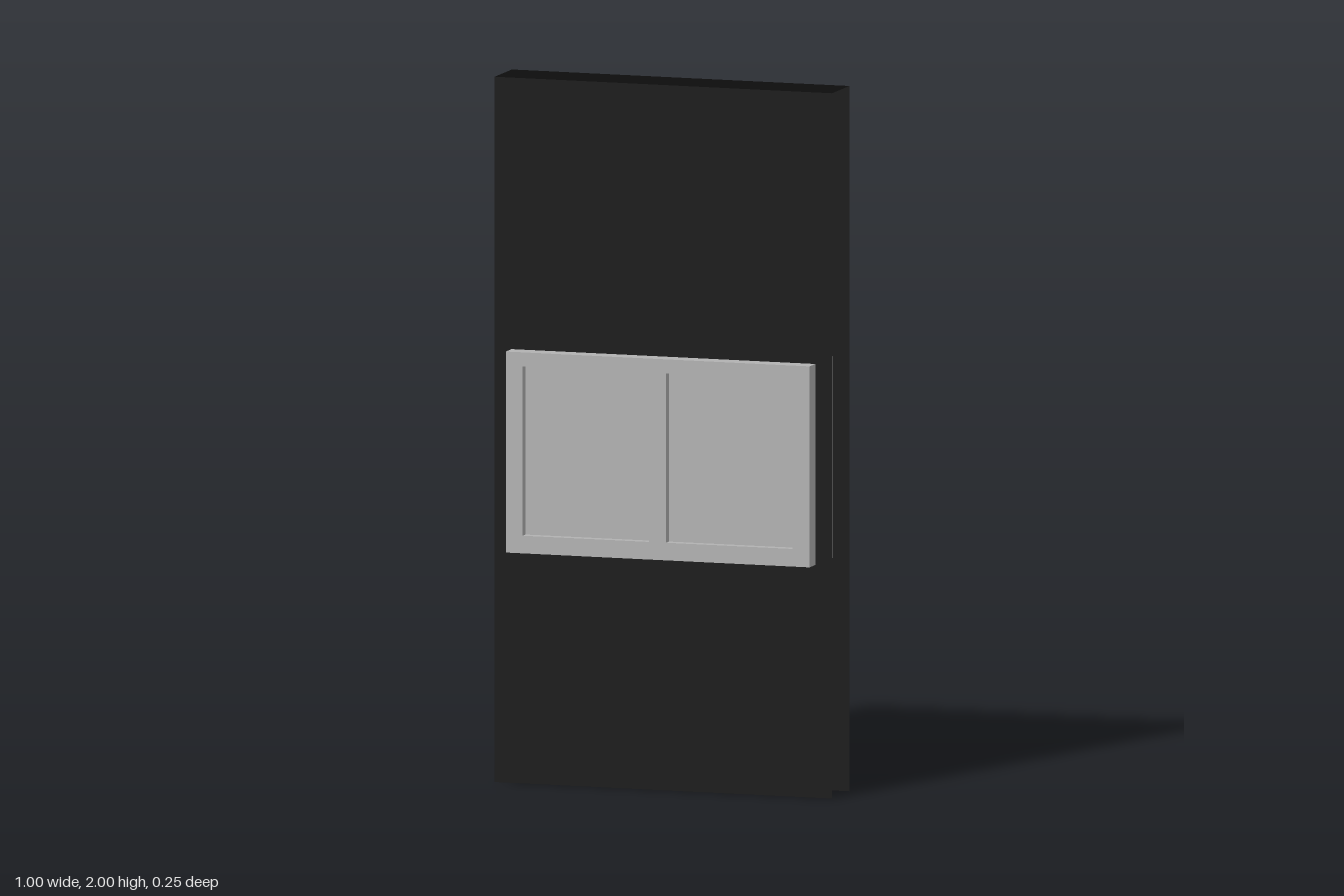
import * as THREE from 'three';

const black = new THREE.MeshStandardMaterial({ color: 0x0d0d0d, side: THREE.DoubleSide });
black.name = 'black';
const grey = new THREE.MeshStandardMaterial({ color: 0xb2b2b2, side: THREE.DoubleSide });
grey.name = 'grey';

// Box keeping only the chosen faces: 0 +x, 1 -x, 2 +y, 3 -y, 4 +z, 5 -z
function openBox(name, size, centre, faces, material) {
  const geometry = new THREE.BoxGeometry(...size);
  const index = Array.from(geometry.index.array);
  geometry.setIndex(faces.flatMap((f) => index.slice(f * 6, f * 6 + 6)));
  geometry.clearGroups();
  geometry.translate(...centre);
  const mesh = new THREE.Mesh(geometry, material);
  mesh.name = name;
  return mesh;
}

function rectangle(target, x0, x1, y0, y1) {
  target.moveTo(x0, y0);
  target.lineTo(x1, y0);
  target.lineTo(x1, y1);
  target.lineTo(x0, y1);
  target.closePath();
  return target;
}

// Hollow panel, open at the back, with two recessed panes
function createPanel(name) {
  const panel = new THREE.Group();
  panel.name = name;
  const back = 0.055, front = 0.125, recess = 0.025;
  const bottom = 0.66, top = 1.23, paneBottom = 0.71, paneTop = 1.19;

  panel.add(openBox('panelRim', [0.9, top - bottom, front - back],
    [0, (top + bottom) / 2, (front + back) / 2], [0, 1, 2, 3], grey));

  const face = rectangle(new THREE.Shape(), -0.45, 0.45, bottom, top);
  for (const side of [-1, 1]) {
    const x = side * 0.2125;
    face.holes.push(rectangle(new THREE.Path(), x - 0.1875, x + 0.1875, paneBottom, paneTop));
    panel.add(openBox(side > 0 ? 'leftPane' : 'rightPane', [0.375, paneTop - paneBottom, recess],
      [x, (paneTop + paneBottom) / 2, front - recess / 2], [0, 1, 2, 3, 5], grey));
  }
  const frame = new THREE.Mesh(new THREE.ShapeGeometry(face), grey);
  frame.name = 'panelFrame';
  frame.position.z = front;
  panel.add(frame);
  return panel;
}

export function createModel() {
  const model = new THREE.Group();
  model.name = 'panelledSlab';

  // Slab open at the sides and underneath
  model.add(openBox('slab', [1, 2, 0.15], [0, 1, 0], [2, 4, 5], black));

  // Matching panels on both faces
  model.add(createPanel('frontPanel'));
  const backPanel = createPanel('backPanel');
  backPanel.rotation.y = Math.PI;
  model.add(backPanel);
  return model;
}
